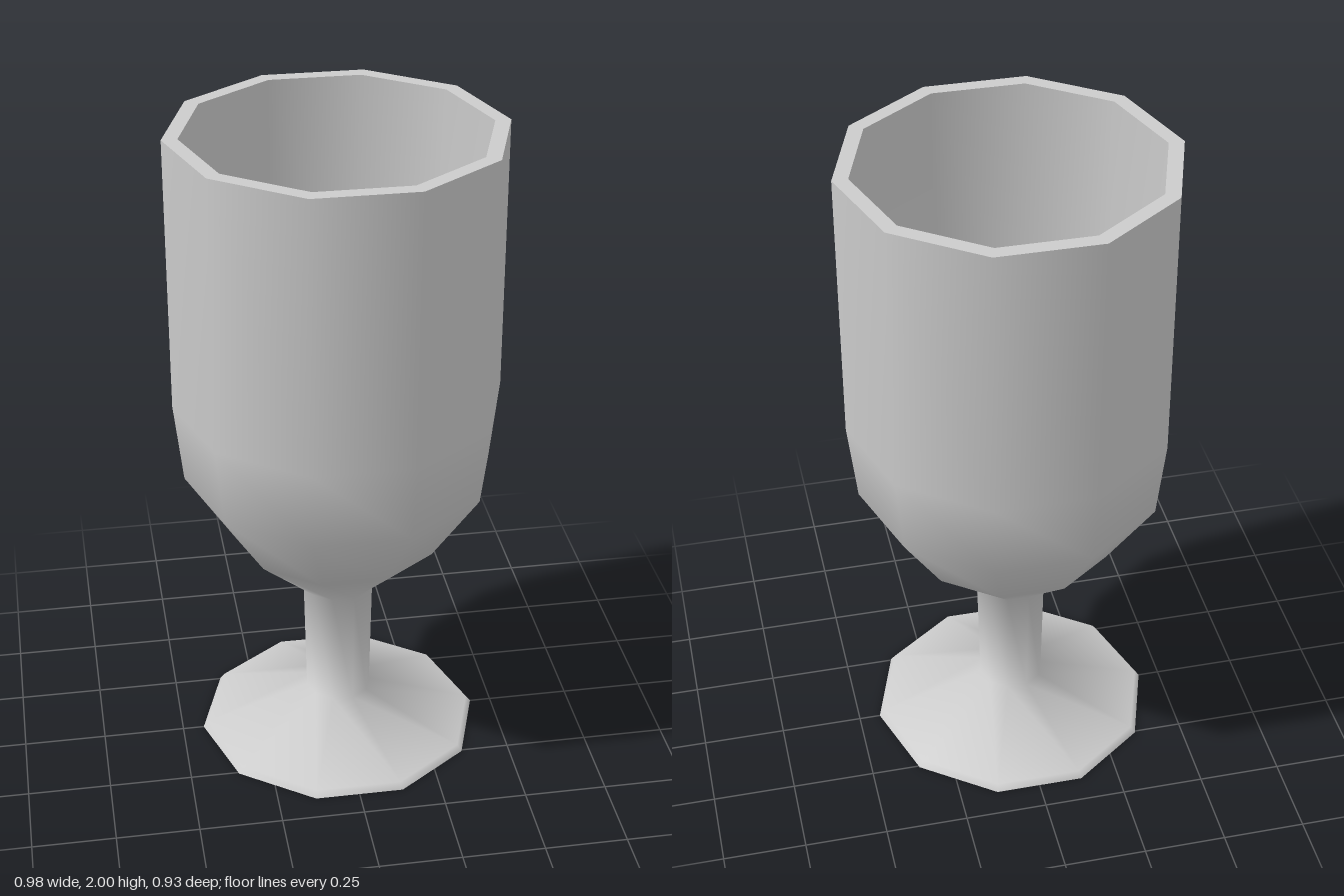
import * as THREE from 'three';

const SIDES = 10;

export function createModel() {
  const goblet = new THREE.Group();
  goblet.name = 'goblet';
  const material = new THREE.MeshStandardMaterial({ color: 0xcccccc });

  // Ten-sided turned surface with a corner on the x axis
  const turned = (name, profile) => {
    const points = profile.map(([r, y]) => new THREE.Vector2(r, y));
    const geometry = new THREE.LatheGeometry(points, SIDES, Math.PI / 2);
    const mesh = new THREE.Mesh(geometry, material);
    mesh.name = name;
    goblet.add(mesh);
  };

  // Flat bottom of the foot
  turned('footUnderside', [[0, 0], [0.435, 0]]);

  // Foot, stem and bowl in one smooth outer skin
  turned('outerWall', [
    [0.435, 0], [0.42, 0.02],
    [0.1, 0.13], [0.108, 0.51],
    [0.315, 0.7], [0.464, 0.925], [0.491, 1.17], [0.491, 2],
  ]);

  // Flat lip
  turned('rim', [[0.491, 2], [0.445, 2]]);

  // Hollow of the bowl, following the outside
  turned('innerWall', [
    [0.445, 2], [0.445, 1.18], [0.42, 0.945], [0.285, 0.735], [0.09, 0.56], [0, 0.55],
  ]);

  return goblet;
}
